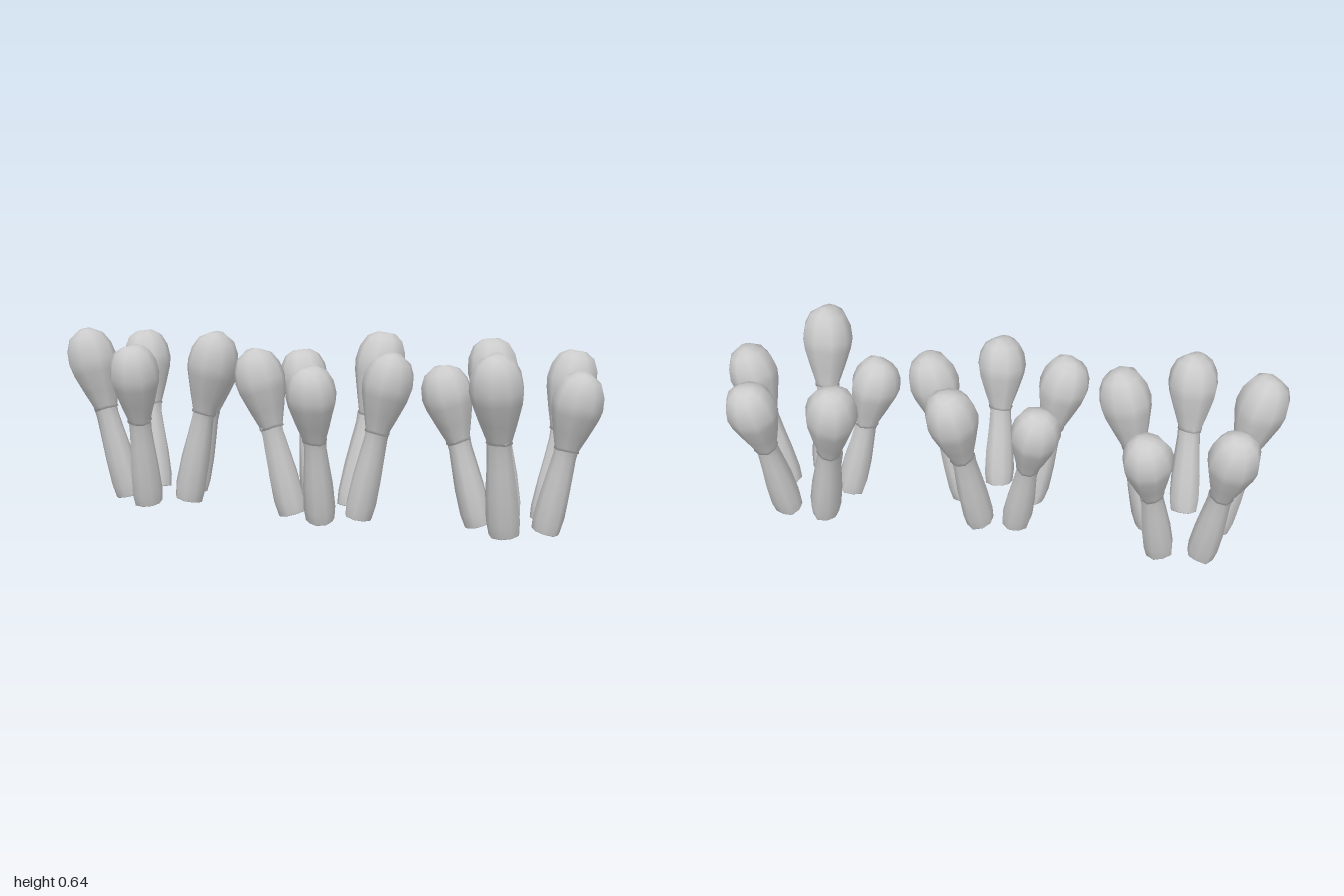
import * as THREE from 'three';
import { mergeVertices } from 'three/addons/utils/BufferGeometryUtils.js';

const SIDES = 9;
const UP = new THREE.Vector3(0, 1, 0);
const material = new THREE.MeshStandardMaterial({ color: 0xcccccc, side: THREE.DoubleSide });

// [radius, height] profiles for a full-height stalk
const STALK = [[0, 0], [0.051, 0], [0.051, 0.002], [0.056, 0.05], [0.053, 0.15], [0.046, 0.24], [0.041, 0.31], [0.043, 0.345]];
const BULB = [[0.032, 0.335], [0.046, 0.338], [0.044, 0.348], [0.064, 0.41], [0.086, 0.485], [0.092, 0.525],
  [0.085, 0.575], [0.065, 0.617], [0.032, 0.638], [0, 0.642]];

// Each entry: base x, base z, bulb x, bulb z, overall height
const CLUSTERS = {
  rightCluster: [
    [-0.735, -0.19, -0.81, -0.28, 0.61], [-0.585, -0.19, -0.525, -0.28, 0.575],
    [-0.785, -0.045, -0.908, 0, 0.65], [-0.55, -0.05, -0.435, -0.01, 0.65], [-0.67, 0.055, -0.67, 0.16, 0.61],
  ],
  middleCluster: [
    [-0.065, -0.085, -0.14, -0.17, 0.575], [0.065, -0.085, 0.145, -0.19, 0.65],
    [-0.11, 0.065, -0.22, 0.10, 0.61], [0.13, 0.055, 0.245, 0.08, 0.61], [0.02, 0.145, 0.02, 0.25, 0.575],
  ],
  leftCluster: [
    [0.63, -0.095, 0.555, -0.2, 0.64], [0.765, -0.08, 0.84, -0.17, 0.61],
    [0.56, 0.05, 0.45, 0.075, 0.575], [0.80, 0.07, 0.905, 0.11, 0.575], [0.67, 0.155, 0.66, 0.277, 0.65],
  ],
};

// Lathe a profile, then make each ring slightly uneven
function organicLathe(profile, height, seed, wobble) {
  const s = height / 0.65;
  const points = profile.map(([r, y]) => new THREE.Vector2(r * (0.6 + 0.4 * s), y * s));
  let geo = new THREE.LatheGeometry(points, SIDES);
  geo.deleteAttribute('uv');
  geo.deleteAttribute('normal');
  const pos = geo.attributes.position;
  for (let i = 0; i < pos.count; i++) {
    const x = pos.getX(i), y = pos.getY(i), z = pos.getZ(i);
    if (Math.hypot(x, z) < 1e-4) continue;
    const a = Math.atan2(z, x);
    const k = 1 + wobble * Math.sin(3 * a + seed) + wobble * 0.6 * Math.sin(4 * a + seed * 2 + y * 12);
    const lift = y > 0.01 ? 0.004 * Math.sin(2 * a + seed * 3) : 0;
    pos.setXYZ(i, x * k, y + lift, z * k);
  }
  geo = mergeVertices(geo, 1e-5);
  geo.computeVertexNormals();
  return geo;
}

// One leaning stem with its swollen head
function makeStem([bx, bz, tx, tz, height], seed) {
  const stem = new THREE.Group();
  stem.name = 'buddedStem';
  const stalk = new THREE.Mesh(organicLathe(STALK, height, seed, 0.06), material);
  stalk.name = 'stalk';
  const bulb = new THREE.Mesh(organicLathe(BULB, height, seed + 1, 0.02), material);
  bulb.name = 'bulb';
  stem.add(stalk, bulb);
  const lean = new THREE.Vector3(tx - bx, height * 0.8, tz - bz).normalize();
  stem.quaternion.setFromUnitVectors(UP, lean);
  stem.position.set(bx, 0.013, bz);
  return stem;
}

export function createModel() {
  const model = new THREE.Group();
  model.name = 'stemClusters';
  let seed = 0;
  for (const [name, stems] of Object.entries(CLUSTERS)) {
    const cluster = new THREE.Group();
    cluster.name = name;
    for (const data of stems) cluster.add(makeStem(data, (seed += 1.7)));
    model.add(cluster);
  }
  return model;
}
